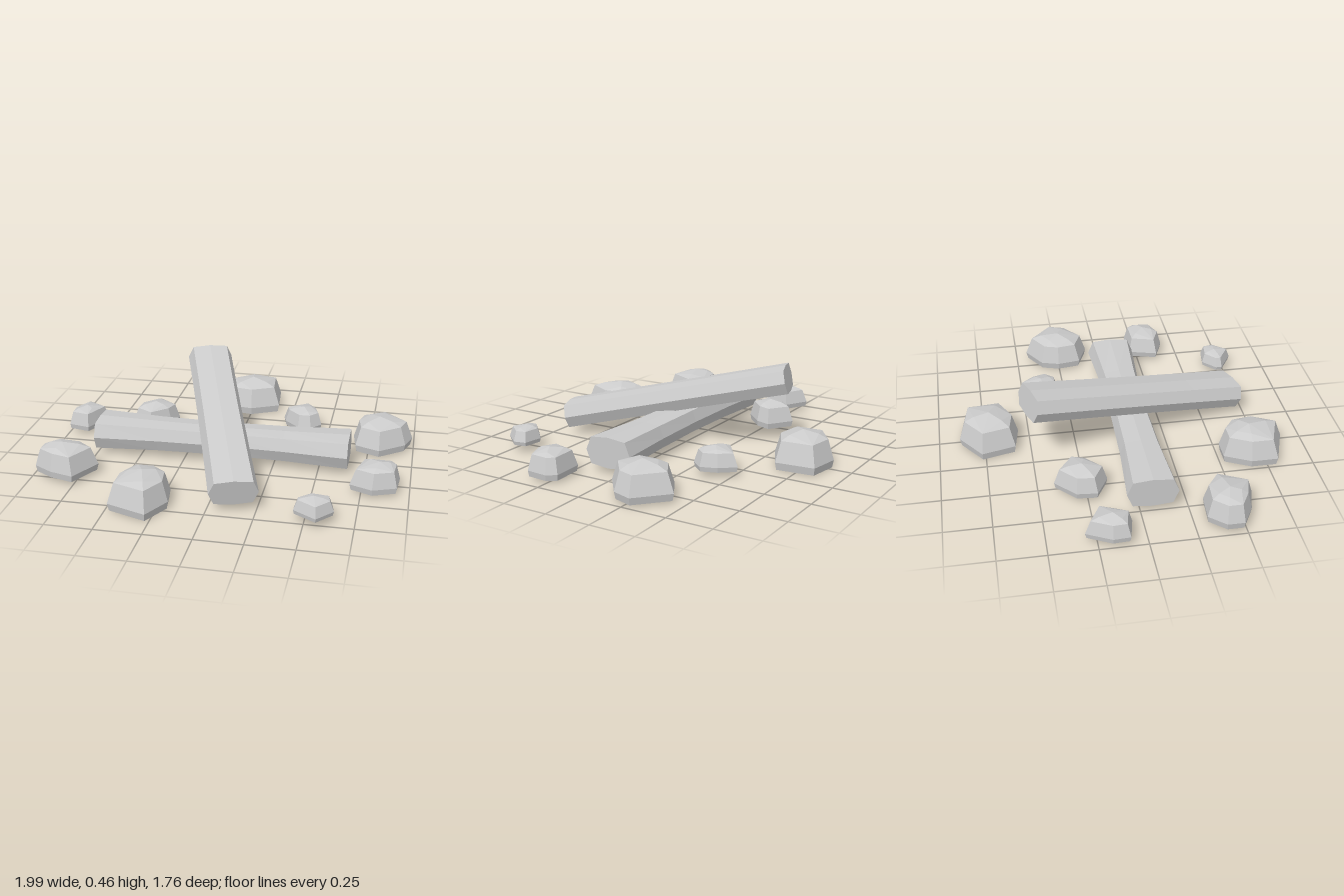
import * as THREE from 'three';
import { ConvexGeometry } from 'three/addons/geometries/ConvexGeometry.js';

const material = new THREE.MeshStandardMaterial({ color: 0xcccccc, flatShading: true });

// Flattened eight-sided log between two end centres; waist is the scale at mid-length
function makeLog(name, from, to, halfWidth, halfHeight, waist) {
  const a = new THREE.Vector3(...from), b = new THREE.Vector3(...to);
  const length = a.distanceTo(b);
  const geometry = new THREE.CylinderGeometry(1, 1, length, 8, 4);
  geometry.rotateX(Math.PI / 2);
  const p = geometry.attributes.position;
  for (let i = 0; i < p.count; i++) {
    const t = p.getZ(i) / (length / 2);
    const s = waist + (1 - waist) * t * t;
    const x = p.getX(i), y = p.getY(i);
    // Push the diagonal corners outward for a boxier section
    const diagonal = Math.abs(x * y) > 0.1;
    p.setX(i, x * halfWidth * s * (diagonal ? 1.1 : 1));
    p.setY(i, y * halfHeight * (0.4 + 0.6 * s) * (diagonal ? 1.24 : 1));
  }
  geometry.computeVertexNormals();
  const log = new THREE.Mesh(geometry, material);
  log.name = name;
  log.position.copy(a).add(b).multiplyScalar(0.5);
  log.lookAt(b);
  return log;
}

// Faceted stone: outline [x, z] as its footprint, a narrower shoulder and a low peak
function makeStone(name, base, top, outline) {
  const n = outline.length;
  const cx = outline.reduce((sum, q) => sum + q[0], 0) / n;
  const cz = outline.reduce((sum, q) => sum + q[1], 0) / n;
  const h = top - base;
  const points = [];
  const ring = (scale, y, step) => {
    for (let i = 0; i < n; i += step) {
      const [x, z] = outline[i];
      points.push(new THREE.Vector3(cx + (x - cx) * scale, y, cz + (z - cz) * scale));
    }
  };
  ring(0.95, base, 1);
  ring(1, base + h * 0.22, 1);
  ring(0.8, base + h * 0.8, 1);
  ring(0.5, base + h * 0.92, 2);
  points.push(new THREE.Vector3(cx, top, cz));
  const stone = new THREE.Mesh(new ConvexGeometry(points), material);
  stone.name = name;
  return stone;
}

export function createModel() {
  const model = new THREE.Group();
  model.name = 'campfire';

  // Crossed logs: one on the ground, one leaning over it
  model.add(makeLog('groundLog', [-0.75, 0.112, 0.065], [0.66, 0.112, 0.065], 0.135, 0.083, 0.78));
  model.add(makeLog('leaningLog', [-0.24, 0.385, -0.51], [0.14, 0.105, 0.69], 0.128, 0.074, 0.97));

  // Ring of stones
  const stones = new THREE.Group();
  stones.name = 'stoneRing';
  stones.add(
    makeStone('backStone', 0, 0.19,
      [[-0.03, -0.885], [0.145, -0.855], [0.165, -0.64], [0.005, -0.56], [-0.145, -0.585], [-0.19, -0.77]]),
    makeStone('backLeftSmallStone', 0.03, 0.15,
      [[0.23, -0.435], [0.365, -0.53], [0.43, -0.45], [0.46, -0.36], [0.405, -0.295], [0.33, -0.295], [0.245, -0.38]]),
    makeStone('backLeftStone', 0.01, 0.185,
      [[0.83, -0.44], [0.99, -0.29], [0.955, -0.18], [0.815, -0.07], [0.68, -0.125], [0.66, -0.255], [0.69, -0.355]]),
    makeStone('leftStone', 0.015, 0.16,
      [[0.735, 0.2], [0.91, 0.195], [0.945, 0.245], [0.935, 0.365], [0.81, 0.415], [0.69, 0.365]]),
    makeStone('frontLeftSmallStone', 0.04, 0.135,
      [[0.52, 0.62], [0.63, 0.635], [0.645, 0.705], [0.565, 0.8], [0.445, 0.725], [0.445, 0.69]]),
    makeStone('frontStone', 0, 0.185,
      [[-0.415, 0.52], [-0.3, 0.52], [-0.21, 0.59], [-0.19, 0.725], [-0.27, 0.88], [-0.485, 0.805], [-0.485, 0.66]]),
    makeStone('frontRightStone', 0.02, 0.185,
      [[-0.91, 0.31], [-0.765, 0.32], [-0.66, 0.4], [-0.75, 0.58], [-0.88, 0.545], [-0.985, 0.485], [-0.985, 0.395]]),
    makeStone('backRightStone', 0.02, 0.165,
      [[-0.515, -0.415], [-0.385, -0.32], [-0.415, -0.235], [-0.52, -0.135], [-0.635, -0.2], [-0.625, -0.31]]),
    makeStone('rightSmallStone', 0.025, 0.15,
      [[-0.935, -0.31], [-0.8, -0.235], [-0.845, -0.13], [-0.875, -0.065], [-0.995, -0.09], [-1.0, -0.18]])
  );
  model.add(stones);
  return model;
}
